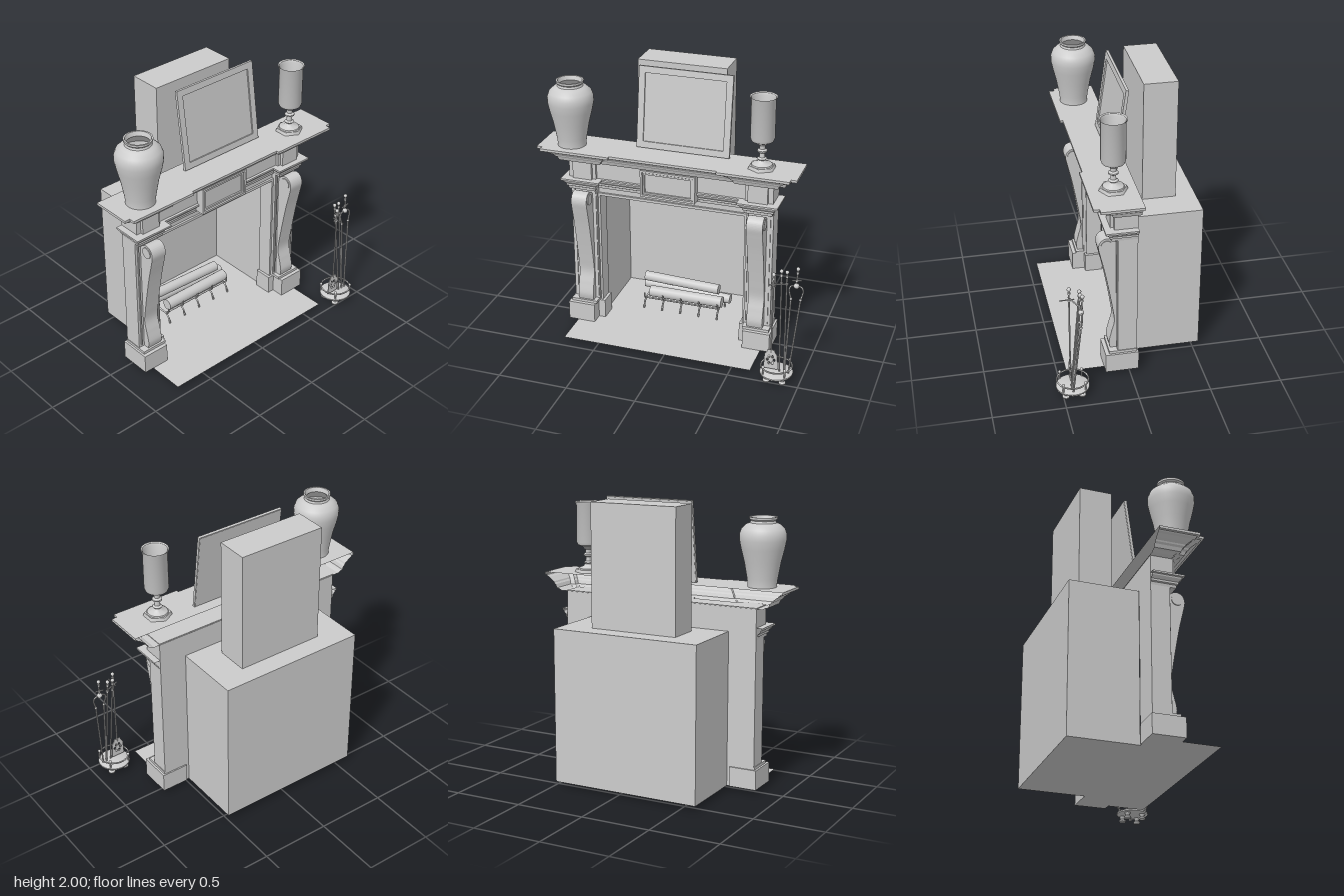
import * as THREE from 'three';
import { toCreasedNormals } from 'three/addons/utils/BufferGeometryUtils.js';

const mat = new THREE.MeshStandardMaterial({ color: 0xcccccc, side: THREE.DoubleSide });
const V = (x, y, z) => new THREE.Vector3(x, y, z);
const CX = -0.055; // centre line of the fireplace

function add(parent, name, geo, x = 0, y = 0, z = 0) {
  const m = new THREE.Mesh(geo, mat);
  m.name = name;
  m.position.set(x, y, z);
  parent.add(m);
  return m;
}
// box given by its limits
function block(parent, name, x0, x1, y0, y1, z0, z1) {
  return add(parent, name, new THREE.BoxGeometry(Math.abs(x1 - x0), y1 - y0, z1 - z0),
    (x0 + x1) / 2, (y0 + y1) / 2, (z0 + z1) / 2);
}
function rod(parent, name, a, b, r, seg = 8) {
  const d = b.clone().sub(a);
  const m = add(parent, name, new THREE.CylinderGeometry(r, r, d.length(), seg));
  m.position.copy(a).addScaledVector(d, 0.5);
  m.quaternion.setFromUnitVectors(V(0, 1, 0), d.normalize());
  return m;
}
function tube(parent, name, pts, r) {
  return add(parent, name, new THREE.TubeGeometry(new THREE.CatmullRomCurve3(pts), 20, r, 6));
}
function lathe(parent, name, pts, seg, x, y, z) {
  const g = new THREE.LatheGeometry(pts.map(p => new THREE.Vector2(...p)), seg);
  return add(parent, name, toCreasedNormals(g, 0.6), x, y, z);
}
function rect(w, h, C = THREE.Shape) {
  return new C([[-w, -h], [w, -h], [w, h], [-w, h]].map(p => new THREE.Vector2(p[0] / 2, p[1] / 2)));
}
// rectangular border of width b and depth d
function border(parent, name, w, h, b, d, x, y, z) {
  const s = rect(w, h);
  s.holes.push(rect(w - 2 * b, h - 2 * b, THREE.Path));
  return add(parent, name, new THREE.ExtrudeGeometry(s, { depth: d, bevelEnabled: false }), x, y, z);
}
// moulding: right half of a stepped plan, mirrored, grown outwards by [offset, y]
function moulding(parent, name, half, profile) {
  const plan = [...half, ...half.map(([x, z]) => [-x, z]).reverse()];
  const normal = i => {
    if (i < 0 || i > plan.length - 2) return [0, 0];
    const dx = plan[i + 1][0] - plan[i][0], dz = plan[i + 1][1] - plan[i][1];
    return [Math.sign(dz), -Math.sign(dx)];
  };
  const ring = ([o, y]) => plan.map(([x, z], i) => {
    const n = normal(i - 1), m = normal(i);
    return V(x + o * (n[0] + m[0]), y, z + o * (n[1] + m[1]));
  });
  const rings = profile.map(ring), pos = [];
  for (let j = 0; j < rings.length - 1; j++) {
    for (let i = 0; i < plan.length - 1; i++) {
      const a = rings[j][i], b = rings[j][i + 1], c = rings[j + 1][i], d = rings[j + 1][i + 1];
      for (const p of [a, c, d, a, d, b]) pos.push(p.x, p.y, p.z);
    }
  }
  const g = new THREE.BufferGeometry();
  g.setAttribute('position', new THREE.Float32BufferAttribute(pos, 3));
  g.computeVertexNormals();
  add(parent, name, g);
  for (const r of [rings[0], rings[rings.length - 1]]) {
    const cap = new THREE.ShapeGeometry(new THREE.Shape(r.map(p => new THREE.Vector2(p.x, -p.z))));
    add(parent, name + 'Cap', cap.rotateX(-Math.PI / 2), 0, r[0].y, 0);
  }
}

function buildMantel(root) {
  const g = new THREE.Group();
  g.name = 'mantel';
  g.position.x = CX;
  root.add(g);
  // surround with the fire opening
  const s = new THREE.Shape([[-0.745, 0.03], [-0.535, 0.03], [-0.535, 1.02], [0.535, 1.02], [0.535, 0.03],
    [0.745, 0.03], [0.745, 1.3], [-0.745, 1.3]].map(p => new THREE.Vector2(...p)));
  add(g, 'surround', new THREE.ExtrudeGeometry(s, { depth: 0.1, bevelEnabled: false }), 0, 0, -0.05);
  block(g, 'openingTrimTop', -0.55, 0.55, 1.02, 1.04, 0.04, 0.065);
  block(g, 'frieze', -0.745, 0.745, 1.165, 1.3, -0.05, 0.09);
  // console profile (z, y)
  const c = new THREE.Shape();
  c.moveTo(0.08, 0.19);
  c.lineTo(0.13, 0.19);
  c.splineThru([[0.137, 0.24], [0.12, 0.32], [0.1, 0.41], [0.113, 0.52], [0.14, 0.68], [0.167, 0.82],
    [0.195, 0.94], [0.208, 1.01], [0.19, 1.058], [0.15, 1.075], [0.11, 1.06], [0.08, 1.03]].map(p => new THREE.Vector2(...p)));
  const console_ = toCreasedNormals(new THREE.ExtrudeGeometry(c, { depth: 0.115, bevelEnabled: false, curveSegments: 40 })
    .rotateY(-Math.PI / 2).translate(0.0575, 0, 0), 0.5);
  for (const k of [-1, 1]) {
    block(g, 'openingTrimSide', k * 0.535, k * 0.55, 0.03, 1.04, 0.04, 0.065);
    block(g, 'plinth', k * 0.565, k * 0.765, 0.03, 0.17, -0.06, 0.172);
    block(g, 'innerPlinth', k * 0.515, k * 0.57, 0.03, 0.17, -0.05, 0.08);
    block(g, 'plinthCap', k * 0.555, k * 0.75, 0.17, 0.19, -0.05, 0.145);
    block(g, 'pilaster', k * 0.55, k * 0.745, 0.19, 1.08, -0.05, 0.085);
    add(g, 'console', console_, k * 0.642);
    // raised edges and volute of the console
    for (const e of [-1, 1]) {
      const roll = add(g, 'volute', new THREE.CylinderGeometry(0.04, 0.04, 0.008, 24), k * 0.642 + e * 0.06, 1.02, 0.152);
      roll.rotation.z = Math.PI / 2;
      block(g, 'pilasterBead', k * 0.642 + e * 0.075, k * 0.642 + e * 0.085, 0.21, 1.06, 0.08, 0.093);
    }
    block(g, 'friezeEnd', k * 0.545, k * 0.745, 1.165, 1.3, -0.05, 0.11);
    block(g, 'friezeEndPanel', k * 0.57, k * 0.71, 1.165, 1.3, 0.1, 0.132);
  }
  moulding(g, 'capital', [[0.745, -0.05], [0.745, 0.13], [0.547, 0.13], [0.547, 0.065]],
    [[0, 1.08], [0.003, 1.1], [0.012, 1.105], [0.012, 1.12], [0.03, 1.14], [0.032, 1.15], [0.045, 1.152], [0.045, 1.165]]);
  moulding(g, 'cornice', [[0.84, -0.055], [0.84, 0.145], [0.8, 0.145], [0.8, 0.185], [0.475, 0.185], [0.475, 0.165]],
    [[-0.05, 1.295], [-0.03, 1.305], [-0.01, 1.31], [0, 1.335], [0.012, 1.345], [0.016, 1.355], [0.03, 1.365],
      [0.055, 1.385], [0.07, 1.392], [0.075, 1.4], [0.09, 1.402], [0.09, 1.42]]);
  // centre tablet
  block(g, 'tablet', -0.2, 0.2, 1.1, 1.3, 0.05, 0.13);
  border(g, 'tabletFrame', 0.4, 0.2, 0.015, 0.02, 0, 1.2, 0.13);
  border(g, 'tabletInnerFrame', 0.36, 0.16, 0.012, 0.012, 0, 1.2, 0.13);
}

function buildFirebox(root) {
  const box = new THREE.BoxGeometry(1.09, 1.095, 0.49);
  const idx = Array.from(box.index.array);
  idx.splice(24, 6); // open front
  box.setIndex(idx);
  add(root, 'firebox', box, CX, 0.5775, -0.3);
  block(root, 'chimney', -0.375, 0.27, 1.125, 1.99, -0.405, -0.17);
  add(root, 'hearth', new THREE.PlaneGeometry(1.395, 0.495).rotateX(-Math.PI / 2), CX + 0.0025, 0.03, 0.1925);
  // logs
  rod(root, 'frontLog', V(-0.31, 0.15, -0.2), V(0.25, 0.15, -0.2), 0.042, 16);
  rod(root, 'backLog', V(-0.385, 0.155, -0.31), V(0.29, 0.135, -0.29), 0.035, 16);
  rod(root, 'topLog', V(-0.37, 0.235, -0.27), V(0.21, 0.225, -0.25), 0.037, 16);
  // grate
  for (let i = 0; i < 5; i++) {
    const x = -0.34 + i * 0.1425;
    tube(root, 'grateBar', [V(x, 0.035, -0.13), V(x, 0.08, -0.15), V(x, 0.1, -0.18), V(x, 0.1, -0.35)], 0.007);
    tube(root, 'grateProng', [V(x, 0.1, -0.18), V(x, 0.12, -0.15), V(x, 0.155, -0.145)], 0.006);
    rod(root, 'grateLeg', V(x, 0.03, -0.34), V(x, 0.1, -0.34), 0.006);
  }
  for (const z of [-0.18, -0.34]) rod(root, 'grateRail', V(-0.34, 0.1, z), V(0.23, 0.1, z), 0.007);
}

function buildOrnaments(root) {
  // leaning picture
  const p = new THREE.Group();
  p.name = 'picture';
  p.position.set(0.02, 1.425, 0.03);
  p.rotation.x = -0.135;
  root.add(p);
  block(p, 'pictureBack', -0.33, 0.33, 0.005, 0.57, -0.008, 0.004);
  border(p, 'pictureFrame', 0.67, 0.575, 0.028, 0.02, 0, 0.2875, -0.006);
  border(p, 'pictureFrameInner', 0.614, 0.519, 0.018, 0.014, 0, 0.2875, 0);
  // vase
  lathe(root, 'vase', [[0, 0], [0.1, 0], [0.1, 0.02], [0.105, 0.06], [0.125, 0.17], [0.148, 0.26], [0.16, 0.32],
    [0.16, 0.36], [0.147, 0.395], [0.115, 0.425], [0.09, 0.435], [0.085, 0.45], [0.095, 0.46], [0.096, 0.475],
    [0.085, 0.475], [0.075, 0.445], [0.14, 0.37], [0.09, 0.05], [0, 0.02]], 40, -0.765, 1.42, 0.12);
  // candle holder with a glass shade
  add(root, 'candleBase', new THREE.CylinderGeometry(0.09, 0.098, 0.022, 6), 0.6, 1.431, 0.1);
  lathe(root, 'candleStem', [[0.075, 0.02], [0.07, 0.03], [0.035, 0.045], [0.025, 0.06], [0.034, 0.07], [0.02, 0.08],
    [0.018, 0.11], [0.034, 0.12], [0.034, 0.13], [0.02, 0.14], [0.022, 0.165], [0.032, 0.172], [0.026, 0.18],
    [0.04, 0.19], [0, 0.19]], 24, 0.6, 1.42, 0.1);
  lathe(root, 'glassShade', [[0, 0.185], [0.05, 0.187], [0.075, 0.2], [0.083, 0.22], [0.083, 0.49], [0.092, 0.505],
    [0.092, 0.511], [0.083, 0.505], [0.077, 0.49], [0.077, 0.225], [0.05, 0.2], [0, 0.2]], 40, 0.6, 1.42, 0.1);
}

function buildFireTools(root) {
  const g = new THREE.Group();
  g.name = 'fireTools';
  root.add(g);
  const x = 0.83, z = 0.427;
  lathe(g, 'standBase', [[0, 0.04], [0.105, 0.04], [0.115, 0.046], [0.115, 0.056], [0.105, 0.062], [0, 0.062]], 32, x, 0, z);
  add(g, 'standRail', new THREE.TorusGeometry(0.108, 0.006, 6, 32).rotateX(Math.PI / 2), x, 0.103, z);
  for (let i = 0; i < 4; i++) {
    const a = Math.PI / 4 + i * Math.PI / 2, c = Math.cos(a), s = Math.sin(a);
    lathe(g, 'standFoot', [[0, 0], [0.024, 0], [0.026, 0.01], [0.014, 0.02], [0.022, 0.04]], 12, x + 0.08 * c, 0, z + 0.08 * s);
    rod(g, 'standPost', V(x + 0.108 * c, 0.06, z + 0.108 * s), V(x + 0.108 * c, 0.115, z + 0.108 * s), 0.006);
    add(g, 'standFinial', new THREE.SphereGeometry(0.011, 10, 8), x + 0.108 * c, 0.118, z + 0.108 * s);
  }
  // long tools, each with a knob and collars
  const tool = (name, top, bottom, end) => {
    rod(g, name, bottom, end || top, 0.0055);
    const d = top.clone().sub(bottom).normalize();
    add(g, name + 'Knob', new THREE.SphereGeometry(0.014, 12, 10)).position.copy(top);
    for (const t of [0.025, 0.08]) {
      const q = top.clone().addScaledVector(d, -t);
      rod(g, name + 'Collar', q, q.clone().addScaledVector(d, -0.012), 0.01, 10);
    }
  };
  tool('shovel', V(0.79, 0.81, 0.435), V(0.79, 0.2, 0.435));
  tool('poker', V(0.828, 0.81, 0.372), V(0.853, 0.065, 0.44));
  tool('brush', V(0.867, 0.81, 0.375), V(0.885, 0.065, 0.44));
  rod(g, 'hanger', V(0.76, 0.728, 0.435), V(0.88, 0.728, 0.385), 0.005);
  rod(g, 'hangerCross', V(0.79, 0.728, 0.5), V(0.79, 0.728, 0.4), 0.004);
  // pierced shovel blade
  const b = new THREE.Shape([[-0.05, 0], [0.05, 0], [0.045, 0.11], [0.03, 0.13], [0.025, 0.15], [-0.025, 0.15],
    [-0.03, 0.13], [-0.045, 0.11]].map(p => new THREE.Vector2(...p)));
  for (let i = 0; i < 6; i++) {
    const a = i * Math.PI / 3;
    b.holes.push(new THREE.Path().absellipse(0.024 * Math.cos(a), 0.07 + 0.03 * Math.sin(a), 0.008, 0.011, 0, Math.PI * 2));
  }
  add(g, 'shovelBlade', new THREE.ExtrudeGeometry(b, { depth: 0.006, bevelEnabled: false, curveSegments: 6 }), 0.79, 0.075, 0.432);
  // tongs
  tool('tongs', V(0.94, 0.845, 0.372), V(0.935, 0.72, 0.38));
  add(g, 'tongsHinge', new THREE.SphereGeometry(0.02, 14, 10), 0.935, 0.72, 0.38);
  rod(g, 'tongsGuard', V(0.905, 0.755, 0.378), V(0.968, 0.765, 0.378), 0.005);
  for (const k of [-1, 1]) {
    const mx = 0.935;
    tube(g, 'tongsBow', [V(mx, 0.72, 0.38), V(mx + k * 0.035, 0.715, 0.38), V(mx + k * 0.048, 0.69, 0.383),
      V(mx + k * 0.033, 0.62, 0.388)], 0.006);
    rod(g, 'tongsArm', V(mx + k * 0.033, 0.62, 0.388), V(0.9 + k * 0.012, 0.02, 0.44), 0.006);
    add(g, 'tongsJoint', new THREE.SphereGeometry(0.01, 10, 8), mx + k * 0.033, 0.62, 0.388);
  }
}

export function createModel() {
  const root = new THREE.Group();
  root.name = 'fireplace';
  buildFirebox(root);
  buildMantel(root);
  buildOrnaments(root);
  buildFireTools(root);
  return root;
}
